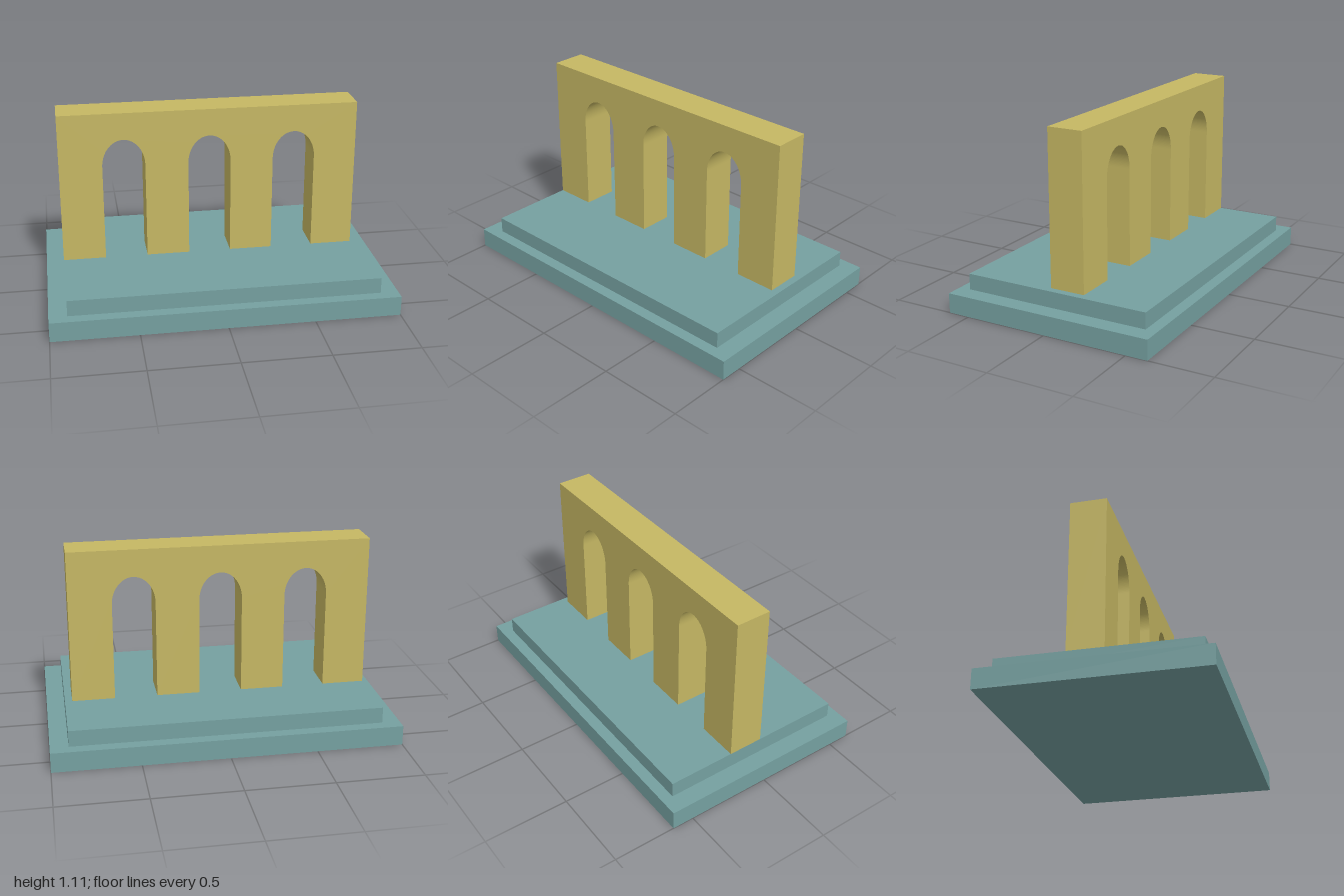
import * as THREE from 'three';

const teal = new THREE.MeshStandardMaterial({ color: 0x75a0a0 });
const ochre = new THREE.MeshStandardMaterial({ color: 0xc5b763 });

// Slab given by its footprint and its bottom and top heights
function slab(name, width, depth, y0, y1) {
  const mesh = new THREE.Mesh(new THREE.BoxGeometry(width, y1 - y0, depth), teal);
  mesh.position.y = (y0 + y1) / 2;
  mesh.name = name;
  return mesh;
}

// Wall outline walked along the foot, rising over each arch in turn
function arcadeWall() {
  const left = -0.896, right = 0.853, foot = 0.21, top = 1.105;
  const spring = 0.785, rise = 0.16, half = 0.1245;
  const back = -0.165, front = 0.043;

  const shape = new THREE.Shape();
  shape.moveTo(left, foot);
  for (const x of [-0.522, -0.021, 0.48]) {
    shape.lineTo(x - half, foot);
    shape.lineTo(x - half, spring);
    shape.absellipse(x, spring, half, rise, Math.PI, 0, true);
    shape.lineTo(x + half, foot);
  }
  shape.lineTo(right, foot);
  shape.lineTo(right, top);
  shape.lineTo(left, top);
  shape.closePath();

  const geometry = new THREE.ExtrudeGeometry(shape, {
    depth: front - back, bevelEnabled: false, curveSegments: 32,
  });
  geometry.translate(0, 0, back);
  const mesh = new THREE.Mesh(geometry, ochre);
  mesh.name = 'arcadeWall';
  return mesh;
}

export function createModel() {
  const group = new THREE.Group();
  group.name = 'arcade';
  group.add(
    slab('lowerStep', 2, 1.256, 0, 0.116),
    slab('upperStep', 1.792, 1.122, 0.116, 0.21),
    arcadeWall(),
  );
  return group;
}
